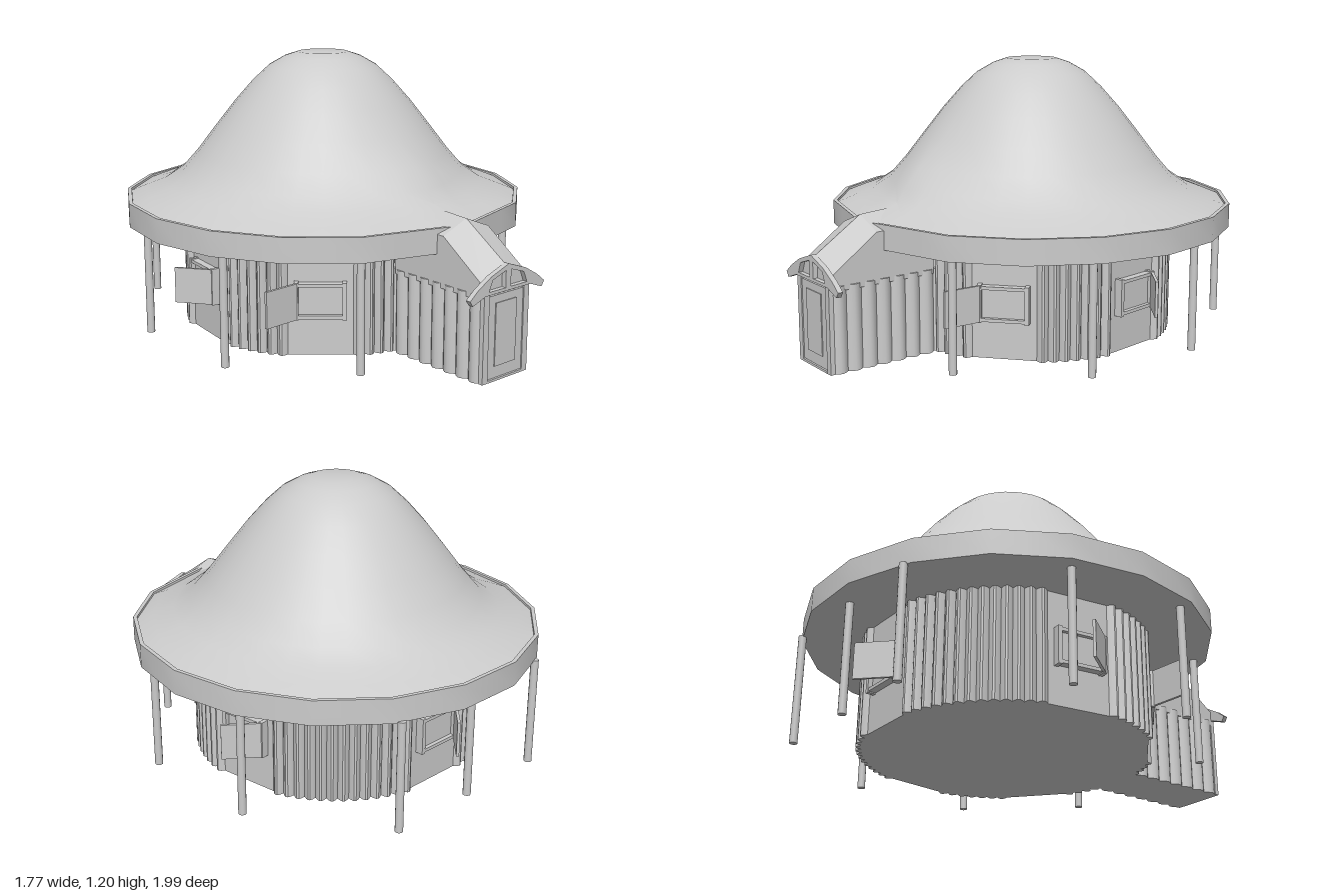
import * as THREE from 'three';
import { toCreasedNormals } from 'three/addons/utils/BufferGeometryUtils.js';

const grey = new THREE.MeshStandardMaterial({ color: 0xcccccc, side: THREE.DoubleSide });
const rad = THREE.MathUtils.degToRad;
const CZ = -0.12; // centre of the round hut

function add(parent, name, geometry, x = 0, y = 0, z = 0) {
  const mesh = new THREE.Mesh(geometry, grey);
  mesh.name = name;
  mesh.position.set(x, y, z);
  parent.add(mesh);
  return mesh;
}
const box = (parent, name, w, h, d, x, y, z) => add(parent, name, new THREE.BoxGeometry(w, h, d), x, y, z);
const vecs = (list) => list.map(([x, y]) => new THREE.Vector2(x, y));

// Plan outline given as [x, z], raised to a height
function raise(plan, height) {
  const shape = new THREE.Shape(vecs(plan.map(([x, z]) => [x, -z])));
  const g = new THREE.ExtrudeGeometry(shape, { depth: height, bevelEnabled: false });
  g.rotateX(-Math.PI / 2);
  return toCreasedNormals(g, 0.6);
}

// Rim polygon: 20 degree steps, with one pointed corner at the front
function rimFactor(deg) {
  const t = Math.min(deg, 360 - deg);
  const [a0, a1] = t < 30 ? [0, 30] : [30 + Math.floor((t - 30) / 20) * 20, 50 + Math.floor((t - 30) / 20) * 20];
  const r0 = a0 === 0 ? 1.012 : 1;
  return r0 * Math.sin(rad(a1 - a0)) / (r0 * Math.sin(rad(t - a0)) + Math.sin(rad(a1 - t)));
}

// Lathe whose outer part follows the rim polygon, with a slight bulge over the porch
function roofLathe(points) {
  const g = new THREE.LatheGeometry(vecs(points), 36);
  const p = g.attributes.position;
  for (let i = 0; i < p.count; i++) {
    const x = p.getX(i), y = p.getY(i), z = p.getZ(i), r = Math.hypot(x, z);
    const deg = Math.round((THREE.MathUtils.radToDeg(Math.atan2(x, z)) + 360) % 360) % 360;
    const blend = THREE.MathUtils.smoothstep(r, 0.6, 0.85);
    const front = Math.max(0, 1 - Math.min(deg, 360 - deg) / 25);
    const bulge = y > 0.64 && y < 0.8 ? 0.07 * front : 0;
    const f = 1 + (rimFactor(deg) - 1) * blend + bulge;
    p.setXYZ(i, x * f, y, z * f);
  }
  g.computeVertexNormals();
  return toCreasedNormals(g, 0.6);
}

// Loft through equal-length sections of [x, y, z], with end caps
function loft(sections) {
  const n = sections[0].length, index = [];
  for (let s = 0; s < sections.length - 1; s++)
    for (let i = 0; i < n; i++) {
      const a = s * n + i, b = s * n + (i + 1) % n;
      index.push(a, b, b + n, a, b + n, a + n);
    }
  const last = (sections.length - 1) * n;
  for (let i = 1; i < n - 1; i++) index.push(0, i + 1, i, last, last + i, last + i + 1);
  const g = new THREE.BufferGeometry();
  g.setAttribute('position', new THREE.Float32BufferAttribute(sections.flat(2), 3));
  g.setIndex(index);
  return toCreasedNormals(g, 0.2);
}

const WINDOWS = [41, 98, 180, 262, 319];

// Log wall, flat across each window
function wallPlan() {
  const half = 13, plan = [];
  WINDOWS.forEach((angle, w) => {
    const next = WINDOWS[w + 1] ?? WINDOWS[0] + 360;
    const from = angle + half, to = next - half;
    const logs = Math.round(rad(to - from) * 0.62 / 0.045);
    for (let i = 0; i <= logs * 5; i++) {
      const a = rad(from + (to - from) * i / (logs * 5));
      const r = 0.605 + 0.025 * Math.abs(Math.sin(i * Math.PI / 5));
      plan.push([r * Math.sin(a), r * Math.cos(a)]);
    }
  });
  return plan;
}

function windowUnit(angle, hingeSide) {
  const g = new THREE.Group();
  g.name = 'window';
  const a = rad(angle);
  g.position.set(0.59 * Math.sin(a), 0.24, CZ + 0.59 * Math.cos(a));
  g.rotation.y = a;
  box(g, 'windowPane', 0.19, 0.13, 0.02, 0, 0, 0.005);
  for (const s of [-1, 1]) {
    box(g, 'windowPost', 0.018, 0.16, 0.04, s * 0.1, 0, 0.015);
    box(g, 'windowRail', 0.2, 0.014, 0.035, 0, s * 0.068, 0.015);
  }
  const hinge = new THREE.Group();
  hinge.name = 'shutterHinge';
  hinge.position.set(hingeSide * 0.1, 0, 0.03);
  hinge.rotation.y = Math.PI / 4;
  box(hinge, 'shutter', 0.165, 0.155, 0.012, -0.082, 0, 0);
  g.add(hinge);
  return g;
}

function porch() {
  const g = new THREE.Group();
  g.name = 'porch';

  // Log side walls
  const side = [];
  for (let i = 0; i <= 40; i++)
    side.push([0.12 + 0.02 * Math.abs(Math.sin(i * Math.PI / 5)), 0.98 - i * 0.0138]);
  const plan = [...side, ...side.map(([x, z]) => [-x, z]).reverse()];
  add(g, 'porchWalls', raise(plan.reverse(), 0.36));

  // Sloping gabled roof running back into the dome
  const section = (z, low, eave, ridge) =>
    [[-0.13, low, z], [0.13, low, z], [0.13, eave, z], [0, ridge, z], [-0.13, eave, z]];
  add(g, 'porchRoof', loft([
    section(0.5, 0.34, 0.56, 0.625), section(0.77, 0.34, 0.555, 0.606), section(0.98, 0.34, 0.405, 0.465),
  ]));

  // Curved gable board with two small lights
  const half = [[0.1, 0.435], [0.17, 0.395], [0.215, 0.36], [0.2, 0.337], [0.13, 0.362]];
  const board = new THREE.Shape(vecs([[0, 0.47], ...half, ...half.map(([x, y]) => [-x, y]).reverse()]));
  for (const s of [-1, 1])
    board.holes.push(new THREE.Path(vecs([[0.015, 0.375], [0.11, 0.375], [0.09, 0.42], [0.015, 0.445]].map(([x, y]) => [s * x, y]))));
  add(g, 'gableBoard', new THREE.ExtrudeGeometry(board, { depth: 0.022, bevelEnabled: false }), 0, 0, 0.978);

  // Door and surround
  box(g, 'door', 0.2, 0.34, 0.012, 0, 0.182, 0.984);
  box(g, 'doorPanel', 0.12, 0.26, 0.008, 0, 0.19, 0.99);
  for (const s of [-1, 1]) box(g, 'doorPost', 0.03, 0.36, 0.02, s * 0.115, 0.18, 0.985);
  box(g, 'threshold', 0.2, 0.01, 0.018, 0, 0.005, 0.987);
  return g;
}

export function createModel() {
  const model = new THREE.Group();
  model.name = 'roundHut';

  add(model, 'domeRoof', roofLathe([
    [0.868, 0.57], [0.8, 0.598], [0.71, 0.632], [0.63, 0.685], [0.56, 0.765], [0.48, 0.87], [0.39, 0.985],
    [0.31, 1.075], [0.24, 1.14], [0.17, 1.18], [0.11, 1.2], [0, 1.2],
  ]), 0, 0, CZ);
  add(model, 'roofRim', roofLathe([[0, 0.475], [0.885, 0.475], [0.885, 0.58], [0.868, 0.58], [0.866, 0.565]]), 0, 0, CZ);
  add(model, 'logWall', raise(wallPlan(), 0.48), 0, 0, CZ);

  WINDOWS.forEach((angle) => model.add(windowUnit(angle, angle < 90 || angle > 270 ? -1 : 1)));

  // Veranda posts
  const post = new THREE.CylinderGeometry(0.017, 0.017, 0.48, 12);
  const spots = [[0.41, 0.6], [0.77, 0.18], [0.77, -0.38], [0.41, -0.9]];
  for (const [x, z] of spots)
    for (const s of [-1, 1]) add(model, 'verandaPost', post, s * x, 0.24, z);
  add(model, 'verandaPost', post, 0, 0.24, -0.9);

  model.add(porch());
  return model;
}
